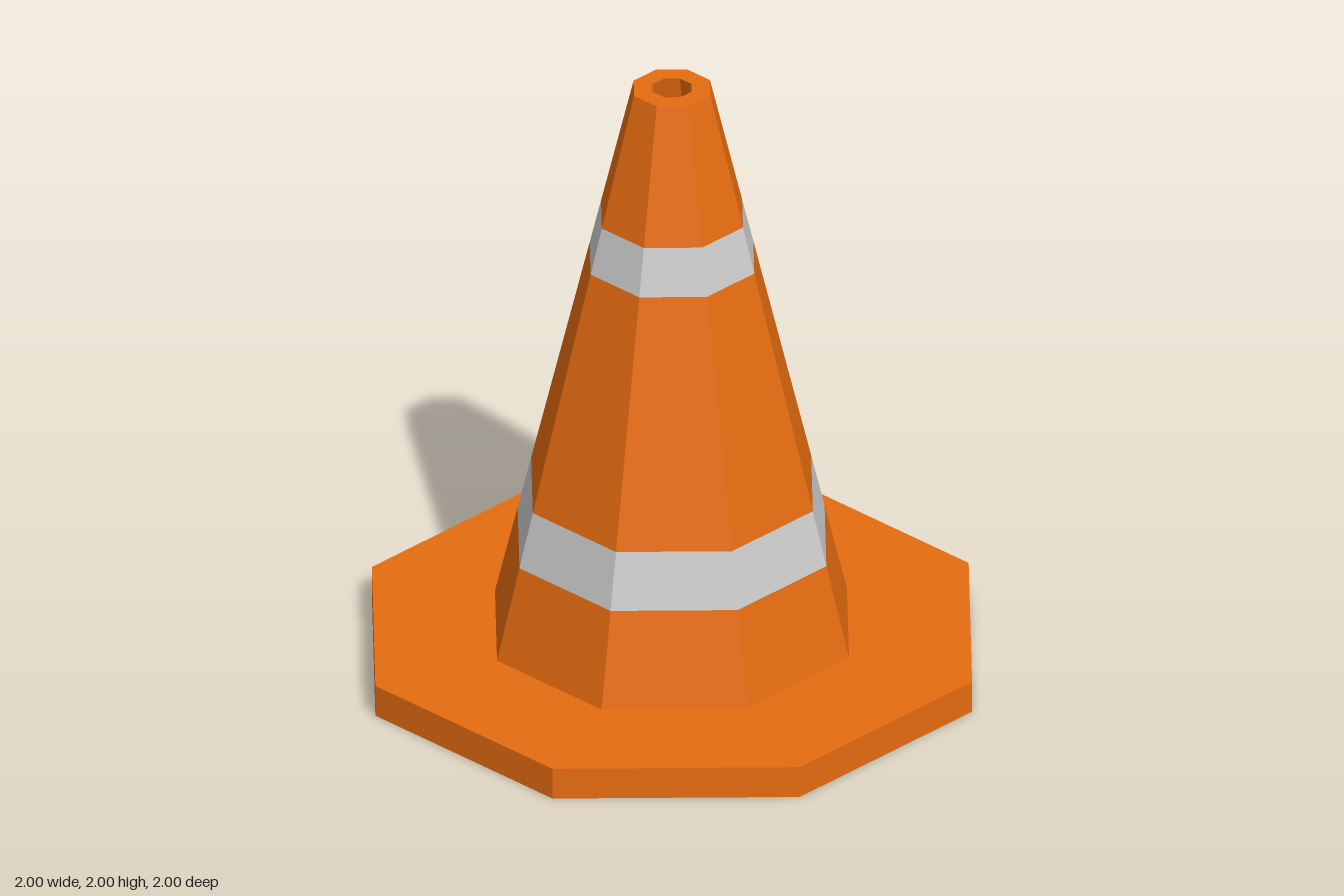
import * as THREE from 'three';

const ORANGE = 0xe66c10;
const GREY = 0xcccccc;
const BASE_TOP = 0.105;

// Outer radius of the cone at height y
const coneRadius = (y) => THREE.MathUtils.mapLinear(y, BASE_TOP, 2, 0.59, 0.128);

// Eight-sided ring surface swept from [radius, height] points
function octagonal(name, color, profile) {
  const points = profile.map(([r, y]) => new THREE.Vector2(r, y));
  const geometry = new THREE.LatheGeometry(points, 8).toNonIndexed();
  geometry.computeVertexNormals();
  const mesh = new THREE.Mesh(geometry, new THREE.MeshStandardMaterial({ color, flatShading: true }));
  mesh.name = name;
  return mesh;
}

const coneSection = (name, color, y0, y1) =>
  octagonal(name, color, [[coneRadius(y0), y0], [coneRadius(y1), y1]]);

export function createModel() {
  const group = new THREE.Group();
  group.name = 'trafficCone';

  // Flat foot, open in the middle
  group.add(octagonal('base', ORANGE, [[0.555, 0], [1, 0], [1, BASE_TOP], [0.59, BASE_TOP]]));

  // Tapered body with two reflective bands
  group.add(
    coneSection('lowerBody', ORANGE, BASE_TOP, 0.415),
    coneSection('lowerBand', GREY, 0.415, 0.6),
    coneSection('middleBody', ORANGE, 0.6, 1.4),
    coneSection('upperBand', GREY, 1.4, 1.555),
    coneSection('upperBody', ORANGE, 1.555, 2)
  );

  // Top rim and hollow inside wall
  group.add(octagonal('rimAndInnerWall', ORANGE, [[coneRadius(2), 2], [0.065, 2], [0.555, 0]]));

  return group;
}
